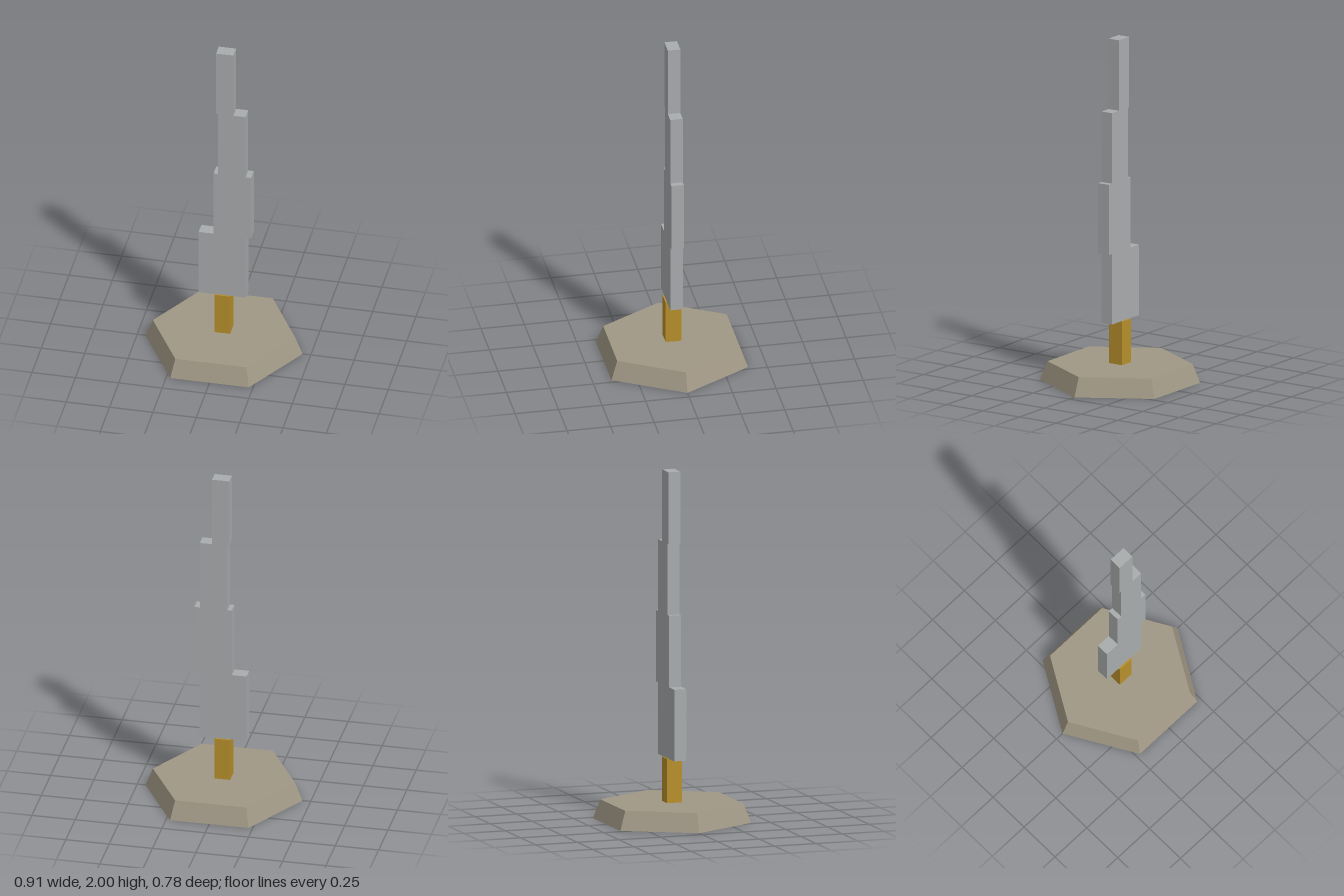
import * as THREE from 'three';

export function createModel() {
  const group = new THREE.Group();
  const stone = new THREE.MeshStandardMaterial({
    name: 'stone', color: 0xa19885, flatShading: true, side: THREE.DoubleSide,
  });
  const brass = new THREE.MeshStandardMaterial({ name: 'brass', color: 0xb8902c });
  const steel = new THREE.MeshStandardMaterial({ name: 'steel', color: 0xa9acad });

  const add = (name, geometry, material, x, y, parent = group) => {
    const mesh = new THREE.Mesh(geometry, material);
    mesh.name = name;
    mesh.position.set(x, y, 0);
    parent.add(mesh);
  };

  // Tapered hexagonal base, hollow and open below, corners on the x axis
  const profile = [[0.453, 0], [0.41, 0.109], [0, 0.109]].map(([r, y]) => new THREE.Vector2(r, y));
  add('base', new THREE.LatheGeometry(profile, 6, Math.PI / 6), stone, 0, 0);

  // Square post set into the base top
  add('post', new THREE.BoxGeometry(0.09, 0.254, 0.09), brass, 0, 0.235);

  // Stacked offset slabs of equal height: left x, right x
  const blade = new THREE.Group();
  blade.name = 'blade';
  group.add(blade);
  const bottom = 0.362;
  const height = (2 - bottom) / 4;
  [
    [-0.138, 0.134],
    [-0.053, 0.164],
    [-0.026, 0.132],
    [-0.038, 0.062],
  ].forEach(([x0, x1], i) => {
    add(`bladeSegment${i + 1}`, new THREE.BoxGeometry(x1 - x0, height, 0.072), steel,
      (x0 + x1) / 2, bottom + (i + 0.5) * height, blade);
  });

  return group;
}
